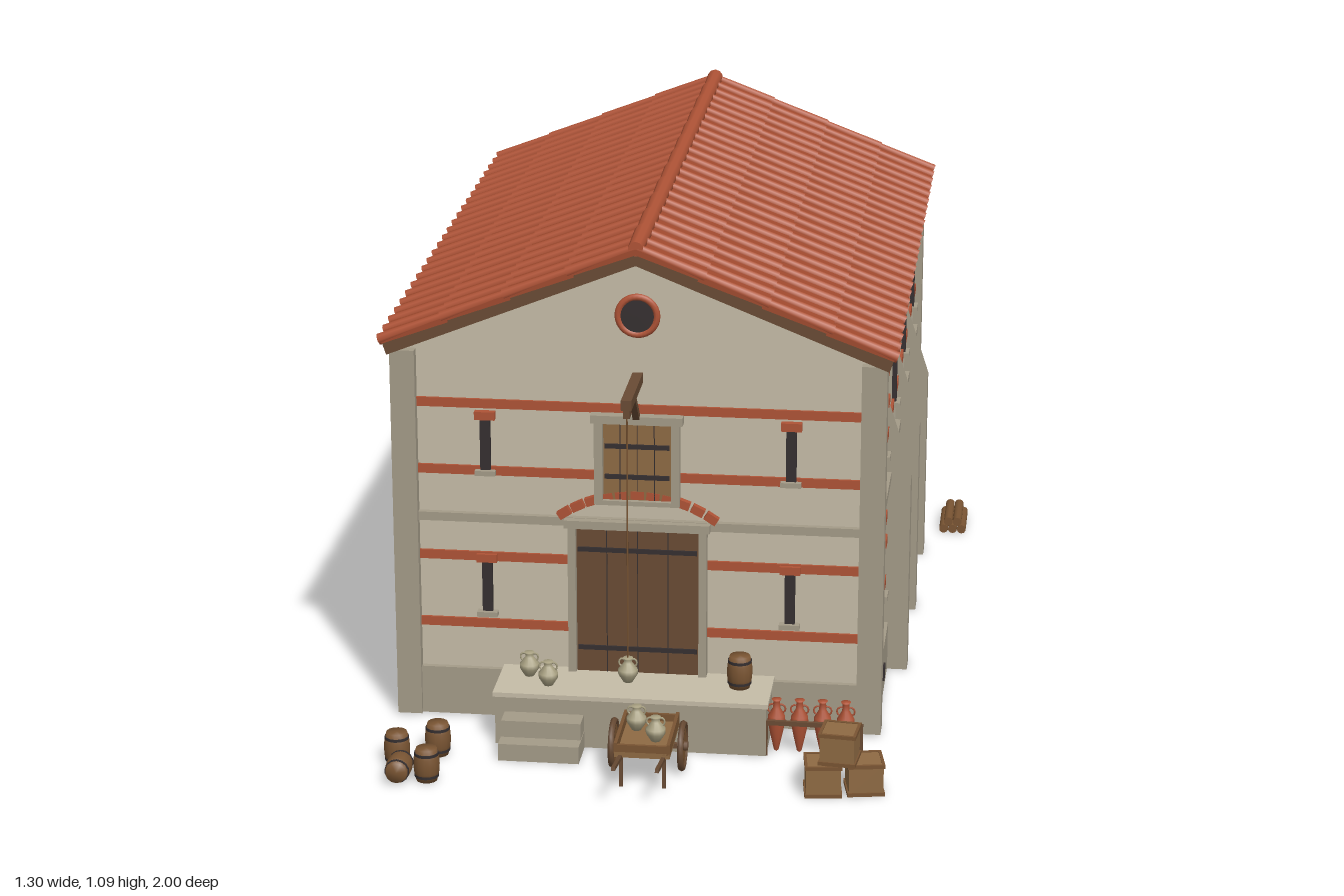
import * as THREE from 'three';
import { mergeGeometries } from 'three/addons/utils/BufferGeometryUtils.js';

const mat = (name, color) => Object.assign(new THREE.MeshStandardMaterial({ color }), { name });
const M = {
  plaster: mat('plaster', 0xc5bca7), stone: mat('stone', 0xa49b88), brick: mat('brick', 0xaf5336),
  tile: mat('roof tile', 0xa04a2e), timber: mat('dark timber', 0x694b34), wood: mat('light wood', 0x8e6a43),
  barrel: mat('barrel wood', 0x7a5533), iron: mat('iron', 0x352f30), pot: mat('pale clay', 0xaaa283),
};

function add(parent, name, geometry, material, x = 0, y = 0, z = 0) {
  const m = new THREE.Mesh(geometry, material);
  m.name = name;
  m.position.set(x, y, z);
  parent.add(m);
  return m;
}
function group(parent, name, x = 0, y = 0, z = 0, ry = 0) {
  const g = new THREE.Group();
  g.name = name;
  g.position.set(x, y, z);
  g.rotation.y = ry;
  parent.add(g);
  return g;
}
// Box given by its centre in x and z and its bottom and top in y
const box = (p, name, material, x, y0, y1, z, w, d) =>
  add(p, name, new THREE.BoxGeometry(w, y1 - y0, d), material, x, (y0 + y1) / 2, z);
const lathe = (pts, n = 12) => new THREE.LatheGeometry(pts.map(p => new THREE.Vector2(...p)), n);
const prism = (pts, depth) => new THREE.ExtrudeGeometry(
  new THREE.Shape(pts.map(p => new THREE.Vector2(...p))), { depth, bevelEnabled: false }).translate(0, 0, -depth / 2);

// Slit window on a wall face whose surface is z = 0
function slitWindow(face, x, y) {
  box(face, 'windowSlit', M.iron, x, y, y + 0.115, 0.004, 0.022, 0.012);
  box(face, 'windowLintel', M.brick, x, y + 0.113, y + 0.131, 0.006, 0.044, 0.018);
  box(face, 'windowSill', M.stone, x, y - 0.011, y, 0.008, 0.044, 0.022);
}

// Brick bands, cornice and windows shared by all four walls
function dressFace(face, half, windowXs) {
  for (const y of [0.206, 0.36, 0.555, 0.705]) box(face, 'brickBand', M.brick, 0, y, y + 0.02, 0, half * 2, 0.012);
  box(face, 'cornice', M.stone, 0, 0.45, 0.469, 0.004, half * 2, 0.018);
  for (const x of windowXs) for (const y of [0.246, 0.568]) slitWindow(face, x, y);
}

// Plank door with stone frame and iron straps
function door(face, name, material, w, y0, y1, frame, straps) {
  const g = group(face, name);
  for (const s of [-1, 1]) {
    box(g, 'doorLeaf', material, s * w / 4, y0, y1, 0.006, w / 2 - 0.002, 0.016);
    box(g, 'doorJamb', M.stone, s * (w + frame) / 2, y0 - 0.008, y1, 0.01, frame, 0.03);
    box(g, 'doorSeam', M.iron, s * w / 4, y0, y1, 0.0125, 0.002, 0.005);
  }
  box(g, 'doorGap', M.iron, 0, y0, y1, 0.004, 0.004, 0.014);
  box(g, 'doorLintel', M.stone, 0, y1, y1 + 0.018, 0.012, w + frame * 2 + 0.014, 0.036);
  for (const y of straps) box(g, 'ironStrap', M.iron, 0, y - 0.005, y + 0.005, 0.015, w - 0.008, 0.006);
}

function roof(b) {
  // Timber underlay shaped as a chevron
  const slope = 0.4, under = x => 1.036 - slope * x;
  add(b, 'roofTimber', prism([[-0.53, under(0.53)], [0, under(0)], [0.53, under(0.53)],
    [0.538, under(0.53) + 0.024], [0, 1.062], [-0.538, under(0.53) + 0.024]], 1.56), M.timber);
  // Overlapping courses of flat tiles with round cover tiles on the joints
  const courses = 4, len = 0.576 / courses, ribs = 25;
  for (const s of [-1, 1]) {
    const side = group(b, 'roofSlope', 0, 1.062, 0);
    side.rotation.z = -s * Math.atan(slope);
    const pans = [], covers = [];
    for (let c = 0; c < courses; c++) {
      const x = s * (c + 0.5) * len;
      pans.push(new THREE.BoxGeometry(len + 0.008, 0.012, 1.566).rotateZ(s * 0.03).translate(x, 0.006, 0));
      for (let i = 0; i < ribs; i++) {
        const z = (i / (ribs - 1) - 0.5) * 1.546;
        covers.push(new THREE.CylinderGeometry(0.0095, 0.0125, len + 0.008, 8)
          .rotateZ(s * Math.PI / 2).translate(x + s * 0.004, 0.011, z));
      }
    }
    add(side, 'flatTiles', mergeGeometries(pans), M.tile);
    add(side, 'coverTiles', mergeGeometries(covers), M.brick);
  }
  const ridge = [];
  for (let i = 0; i < 12; i++) ridge.push(new THREE.CylinderGeometry(0.016, 0.019, 0.134, 10)
    .rotateX(Math.PI / 2).translate(0, 1.073, (i - 5.5) * 0.13));
  add(b, 'ridgeTiles', mergeGeometries(ridge), M.brick);
}

function building(root) {
  const b = group(root, 'warehouse', -0.0085, 0, -0.212);
  add(b, 'walls', prism([[-0.505, 0.01], [0.505, 0.01], [0.505, 0.838], [0, 1.038], [-0.505, 0.838]], 1.5), M.plaster);
  box(b, 'plinth', M.stone, 0, 0.004, 0.112, 0, 1.034, 1.524);
  for (const x of [-1, 1]) for (const z of [-1, 1])
    box(b, 'cornerPier', M.stone, x * 0.499, 0.004, 0.832, z * 0.747, 0.053, 0.05);
  roof(b);

  const front = group(b, 'frontFace', 0, 0, 0.75), back = group(b, 'backFace', 0, 0, -0.75, Math.PI);
  dressFace(front, 0.475, [-0.326, 0.326]);
  dressFace(back, 0.475, [-0.326, 0.326]);
  door(back, 'backDoor', M.wood, 0.14, 0.112, 0.34, 0.02, [0.17, 0.28]);
  door(front, 'mainDoor', M.timber, 0.264, 0.12, 0.45, 0.017, [0.175, 0.4]);
  door(front, 'loftDoor', M.wood, 0.146, 0.513, 0.688, 0.018, [0.567, 0.635]);
  box(front, 'loftSill', M.stone, 0, 0.505, 0.515, 0.01, 0.18, 0.03);

  // Relieving arch of bricks over the main door
  for (let i = -5; i <= 5; i++) {
    const a = i * 0.115;
    const v = add(front, 'archBrick', new THREE.BoxGeometry(0.028, 0.018, 0.018), M.brick,
      0.29 * Math.sin(a), 0.235 + 0.29 * Math.cos(a), 0.006);
    v.rotation.z = -a;
  }
  // Round gable window
  add(front, 'oculusRing', new THREE.TorusGeometry(0.041, 0.0075, 8, 28), M.brick, 0, 0.92, 0.002);
  add(front, 'oculusPane', new THREE.CylinderGeometry(0.038, 0.038, 0.008, 28).rotateX(Math.PI / 2), M.iron, 0, 0.92, 0.002);

  // Long walls with vents and sloping buttresses
  for (const s of [-1, 1]) {
    const side = group(b, 'sideFace', s * 0.505, 0, 0, s * Math.PI / 2);
    dressFace(side, 0.725, [-0.558, -0.186, 0.186, 0.558]);
    for (const x of [-0.558, -0.186, 0.186, 0.558]) box(side, 'vent', M.iron, x, 0.046, 0.077, 0.012, 0.031, 0.008);
    for (const x of [-0.365, 0, 0.365]) {
      const bt = add(side, 'buttress', prism([[-0.01, 0], [0.056, 0], [0.056, 0.45], [0, 0.62], [-0.01, 0.62]], 0.054), M.stone, x);
      bt.rotation.y = -Math.PI / 2;
    }
  }
  // Hoist
  const h = group(b, 'hoist');
  box(h, 'hoistBeam', M.timber, 0, 0.773, 0.795, 0.84, 0.022, 0.2);
  const brace = box(h, 'hoistBrace', M.timber, 0, -0.05, 0.05, 0.805, 0.014, 0.014);
  brace.position.y = 0.735;
  brace.rotation.x = Math.PI / 4;
  box(h, 'hoistPulley', M.timber, 0, 0.755, 0.776, 0.927, 0.014, 0.02);
  add(h, 'rope', new THREE.CylinderGeometry(0.0018, 0.0018, 0.54, 6), M.barrel, 0, 0.49, 0.927);
}

function loadingDock(root) {
  const d = group(root, 'loadingDock');
  box(d, 'dockBase', M.stone, -0.008, 0, 0.112, 0.61, 0.58, 0.16);
  box(d, 'dockTop', M.plaster, -0.008, 0.11, 0.12, 0.612, 0.588, 0.168);
  box(d, 'upperStep', M.stone, -0.192, 0, 0.075, 0.71, 0.17, 0.06);
  box(d, 'lowerStep', M.stone, -0.192, 0, 0.038, 0.73, 0.172, 0.096);
}

function jar(root, x, y, z) {
  const g = group(root, 'paleJar', x, y, z);
  add(g, 'jarBody', lathe([[0, 0], [0.01, 0], [0.021, 0.018], [0.021, 0.028], [0.009, 0.043], [0.008, 0.05], [0.011, 0.054], [0, 0.054]]), M.pot);
  for (const s of [-1, 1]) {
    const hd = add(g, 'jarHandle', new THREE.TorusGeometry(0.007, 0.002, 5, 10), M.pot, s * 0.012, 0.043, 0);
    hd.scale.y = 1.2;
  }
}
function barrel(root, x, y, z) {
  const g = group(root, 'barrel', x, y, z);
  add(g, 'staves', lathe([[0, 0], [0.022, 0], [0.0265, 0.02], [0.0275, 0.036], [0.0265, 0.052], [0.022, 0.072], [0, 0.072]], 14), M.barrel);
  for (const [h, r] of [[0.012, 0.0258], [0.06, 0.0258]])
    add(g, 'hoop', new THREE.CylinderGeometry(r, r, 0.006, 14), M.iron, 0, h, 0);
  return g;
}
function crate(root, x, y, z, ry) {
  const g = group(root, 'crate', x, y, z, ry), s = 0.078;
  box(g, 'crateBody', M.wood, 0, 0.002, 0.068, 0, s - 0.006, s - 0.006);
  for (const y0 of [0, 0.062]) for (const e of [-1, 1]) {
    box(g, 'crateRail', M.barrel, 0, y0, y0 + 0.008, e * (s / 2 - 0.003), s, 0.006);
    box(g, 'crateRail', M.barrel, e * (s / 2 - 0.003), y0, y0 + 0.008, 0, 0.006, s);
  }
}

function cart(root) {
  const c = group(root, 'handCart', 0.042, 0, 0.8);
  box(c, 'cartBed', M.wood, 0, 0.07, 0.082, 0, 0.116, 0.175);
  for (const s of [-1, 1]) {
    box(c, 'cartSide', M.barrel, s * 0.055, 0.078, 0.102, 0, 0.007, 0.175);
    box(c, 'cartEnd', M.barrel, 0, 0.078, 0.098, s * 0.084, 0.11, 0.007);
    const w = group(c, 'cartWheel', s * 0.073, 0.055, -0.02, Math.PI / 2);
    add(w, 'wheelRim', new THREE.TorusGeometry(0.047, 0.007, 6, 20), M.timber);
    add(w, 'wheelDisc', new THREE.CylinderGeometry(0.044, 0.044, 0.006, 20).rotateX(Math.PI / 2), M.barrel);
    add(w, 'wheelHub', new THREE.CylinderGeometry(0.01, 0.01, 0.022, 10).rotateX(Math.PI / 2), M.timber);
    const shaft = box(c, 'cartShaft', M.timber, s * 0.045, -0.004, 0.004, 0.138, 0.008, 0.125);
    shaft.position.y = 0.081;
    shaft.rotation.x = -0.2;
    box(c, 'cartProp', M.timber, s * 0.045, 0, 0.07, 0.075, 0.008, 0.008);
  }
  box(c, 'cartAxle', M.timber, 0, 0.05, 0.06, -0.02, 0.15, 0.01);
}

function amphoraRack(root) {
  const g = group(root, 'amphoraRack', 0.375, 0, 0.66);
  const body = lathe([[0, 0], [0.005, 0.004], [0.012, 0.035], [0.019, 0.07], [0.018, 0.083], [0.008, 0.1], [0.007, 0.115], [0.011, 0.12], [0, 0.12]]);
  for (let i = 0; i < 4; i++) {
    const x = (i - 1.5) * 0.049;
    add(g, 'amphora', body, M.brick, x);
    for (const s of [-1, 1]) add(g, 'amphoraHandle', new THREE.TorusGeometry(0.01, 0.002, 5, 10), M.brick, x + s * 0.009, 0.098, 0);
  }
  box(g, 'rackBar', M.timber, 0.007, 0.07, 0.08, 0.023, 0.21, 0.008);
  for (const x of [-0.094, 0.108]) box(g, 'rackPost', M.timber, x, 0, 0.08, 0.023, 0.008, 0.008);
}

export function createModel() {
  const root = new THREE.Group();
  root.name = 'warehouse yard';
  building(root);
  loadingDock(root);
  cart(root);
  amphoraRack(root);
  // Jars on the dock, in the cart, on the hoist and behind the building
  for (const p of [[-0.238, 0.12, 0.593], [-0.19, 0.12, 0.64], [0.016, 0.082, 0.767], [0.063, 0.082, 0.82],
    [-0.0085, 0.168, 0.715], [-0.628, 0, -0.873], [-0.612, 0, -0.815]]) jar(root, ...p);
  for (const p of [[-0.487, 0, 0.815], [-0.41, 0, 0.757], [-0.41, 0, 0.89], [0.217, 0.12, 0.603]]) barrel(root, ...p);
  barrel(root, -0.468, 0.0275, 0.857).rotation.x = Math.PI / 2;
  crate(root, 0.415, 0, 0.85, 0.12);
  crate(root, 0.5, 0, 0.832, 0.18);
  crate(root, 0.449, 0.07, 0.845, -0.1);
  // Log pile beside the wall
  const logs = group(root, 'logPile', 0.617, 0, -0.775);
  const log = new THREE.CylinderGeometry(0.011, 0.011, 0.135, 10).rotateX(Math.PI / 2);
  for (const [x, y] of [[-0.022, 0.011], [0, 0.011], [0.022, 0.011], [-0.011, 0.03], [0.011, 0.03]])
    add(logs, 'log', log, M.barrel, x, y, 0);
  return root;
}
